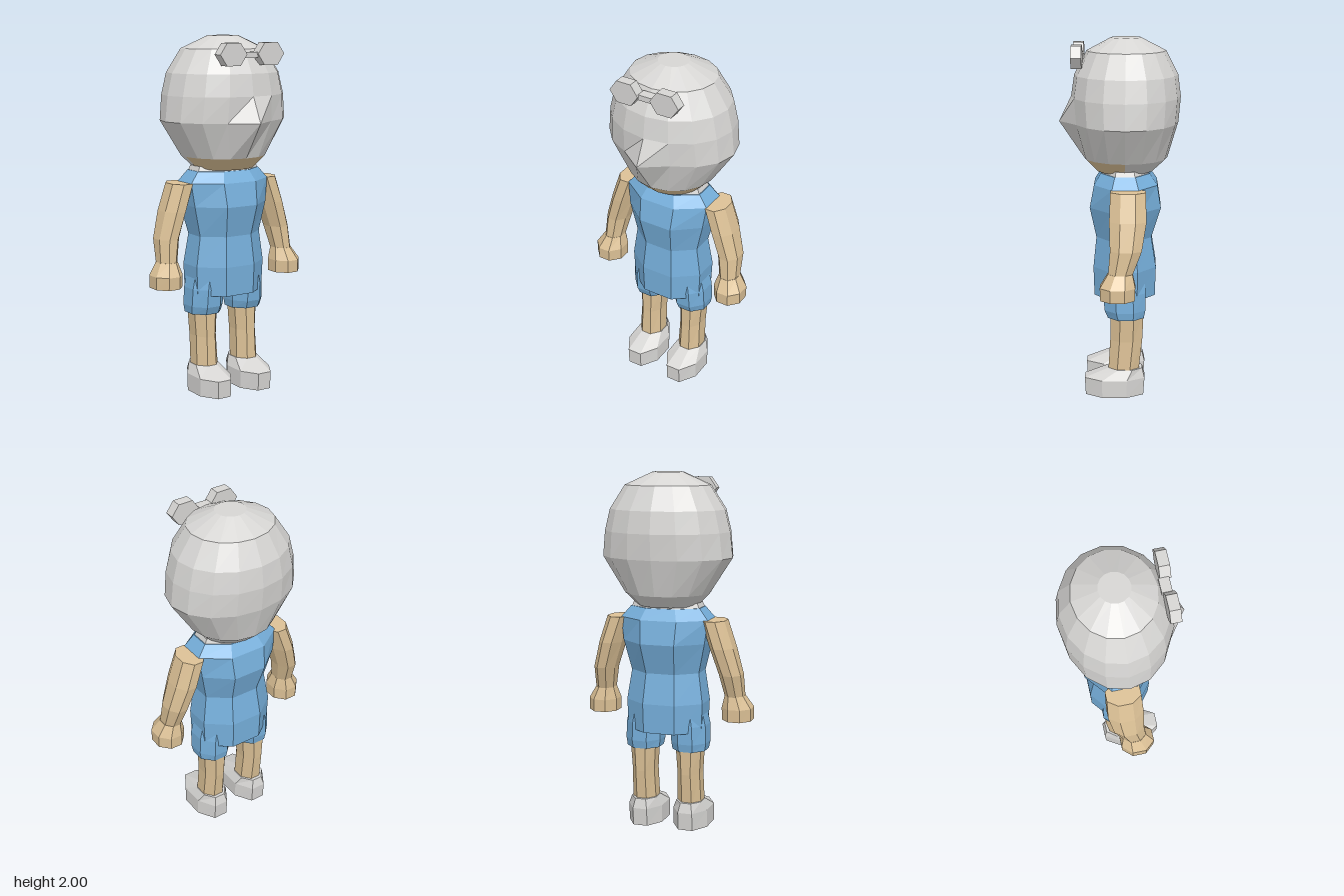
import * as THREE from 'three';

const material = (name, color) => {
  const m = new THREE.MeshStandardMaterial({ color, flatShading: true });
  m.name = name;
  return m;
};

// Lofts rings [y, centreX, centreZ, halfWidth, halfDepth] listed bottom to top.
// 'flat' turns a flat side to the front; from/to pick a range of sectors; 'adjust' moves single corners.
function loft(rings, { sides = 8, flat = true, from = 0, to = sides, adjust } = {}) {
  const pos = [];
  const grow = flat ? 1 / Math.cos(Math.PI / sides) : 1;
  const corner = (r, i) => {
    const [y, cx, cz, w, d] = rings[r];
    const a = ((i + (flat ? 0.5 : 0)) / sides) * Math.PI * 2;
    const p = [cx + Math.sin(a) * w * grow, y, cz + Math.cos(a) * d * grow];
    if (adjust) adjust(p, r, ((i % sides) + sides) % sides);
    return p;
  };
  const tri = (a, b, c) => pos.push(...a, ...b, ...c);
  const last = rings.length - 1;
  const middle = (r) => [rings[r][1], rings[r][0], rings[r][2]];
  for (let i = from; i < to; i++) {
    for (let r = 0; r < last; r++) {
      const a = corner(r, i), b = corner(r, i + 1), c = corner(r + 1, i + 1), d = corner(r + 1, i);
      tri(a, b, c);
      tri(a, c, d);
    }
    tri(middle(0), corner(0, i + 1), corner(0, i));
    tri(middle(last), corner(last, i), corner(last, i + 1));
  }
  const g = new THREE.BufferGeometry();
  g.setAttribute('position', new THREE.Float32BufferAttribute(pos, 3));
  g.computeVertexNormals();
  return g;
}

export function createModel() {
  const model = new THREE.Group();
  model.name = 'figure';
  const grey = material('lightGrey', 0xd6d5d3);
  const skin = material('skin', 0xdcc196);
  const blue = material('blueCloth', 0x76afdb);

  const add = (name, geometry, mat, parent = model) => {
    const mesh = new THREE.Mesh(geometry, mat);
    mesh.name = name;
    parent.add(mesh);
    return mesh;
  };

  // Head covering, with one front corner drawn out to a point
  const headRings = [
    [1.34, 0, -0.033, 0.24, 0.233],
    [1.54, 0, -0.035, 0.37, 0.29],
    [1.68, 0, -0.035, 0.355, 0.302],
    [1.8, 0, -0.036, 0.325, 0.285],
    [1.93, 0, -0.037, 0.24, 0.218],
    [2.0, 0, -0.035, 0.085, 0.083],
  ];
  add('head', loft(headRings, {
    sides: 16, flat: false,
    adjust: (p, r, i) => { if (r === 1 && i === 0) p[2] = 0.335; },
  }), grey);

  // Underside of the head: skin in front, covered behind
  const chinRings = [[1.27, 0, -0.03, 0.17, 0.16], headRings[0]];
  add('chin', loft(chinRings, { sides: 16, flat: false, from: -4, to: 4 }), skin);
  add('nape', loft(chinRings, { sides: 16, flat: false, from: 4, to: 12 }), grey);

  // Goggles on the forehead: two hexagonal lenses and a bridge
  const goggles = new THREE.Group();
  goggles.name = 'goggles';
  model.add(goggles);
  for (const s of [1, -1]) {
    const lens = new THREE.CylinderGeometry(1, 1, 0.058, 6);
    lens.rotateY(Math.PI / 6).rotateX(Math.PI / 2);
    // Set one pair of corners level at the sides
    lens.computeBoundingBox();
    const b = lens.boundingBox;
    if (b.max.y > b.max.x) lens.rotateZ(Math.PI / 2);
    lens.scale(0.085, 0.07, 1);
    add('lens', lens, grey, goggles).position.set(s * 0.12, 1.905, 0.23);
  }
  add('bridge', new THREE.BoxGeometry(0.08, 0.03, 0.055), grey, goggles).position.set(0, 1.9, 0.22);

  // Neck and collar
  add('neck', loft([[1.24, 0, -0.03, 0.12, 0.1], [1.32, 0, -0.03, 0.12, 0.1]]), skin);
  add('collar', loft([[1.25, 0, -0.033, 0.2, 0.133], [1.288, 0, -0.033, 0.185, 0.12]]), grey);

  // Sleeveless shirt
  add('shirt', loft([
    [0.565, 0, -0.03, 0.215, 0.17],
    [0.73, 0, -0.03, 0.222, 0.175],
    [0.9, 0, -0.025, 0.197, 0.153],
    [1.07, 0, -0.033, 0.236, 0.197],
    [1.2, 0, -0.035, 0.252, 0.175],
    [1.262, 0, -0.033, 0.2, 0.135],
  ]), blue);

  for (const [side, s] of [['left', 1], ['right', -1]]) {
    // Arm, bowed outward, ending in a blunt hand
    const arm = new THREE.Group();
    arm.name = side + 'Arm';
    model.add(arm);
    add(side + 'UpperLimb', loft([
      [0.77, s * 0.385, -0.01, 0.052, 0.065],
      [0.9, s * 0.37, -0.04, 0.062, 0.085],
      [1.05, s * 0.325, -0.05, 0.067, 0.1],
      [1.2, s * 0.275, -0.05, 0.067, 0.095],
    ]), skin, arm);
    add(side + 'Hand', loft([
      [0.635, s * 0.398, 0.004, 0.082, 0.092],
      [0.705, s * 0.398, 0.004, 0.083, 0.095],
      [0.775, s * 0.385, -0.01, 0.053, 0.066],
    ]), skin, arm);

    // Leg with shorts and shoe
    const leg = new THREE.Group();
    leg.name = side + 'Leg';
    model.add(leg);
    add(side + 'Shorts', loft([
      [0.455, s * 0.135, -0.038, 0.095, 0.1],
      [0.5, s * 0.135, -0.033, 0.102, 0.114],
      [0.6, s * 0.133, -0.03, 0.1, 0.118],
      [0.7, s * 0.12, -0.03, 0.09, 0.11],
    ]), blue, leg);
    add(side + 'Shin', loft([
      [0.12, s * 0.135, -0.023, 0.07, 0.085],
      [0.32, s * 0.135, -0.04, 0.065, 0.09],
      [0.48, s * 0.135, -0.045, 0.075, 0.092],
    ]), skin, leg);
    add(side + 'Shoe', loft([
      [0, s * 0.135, 0.026, 0.1, 0.163],
      [0.1, s * 0.135, 0.025, 0.1, 0.169],
      [0.155, s * 0.135, -0.034, 0.073, 0.096],
    ]), grey, leg);
  }
  return model;
}
